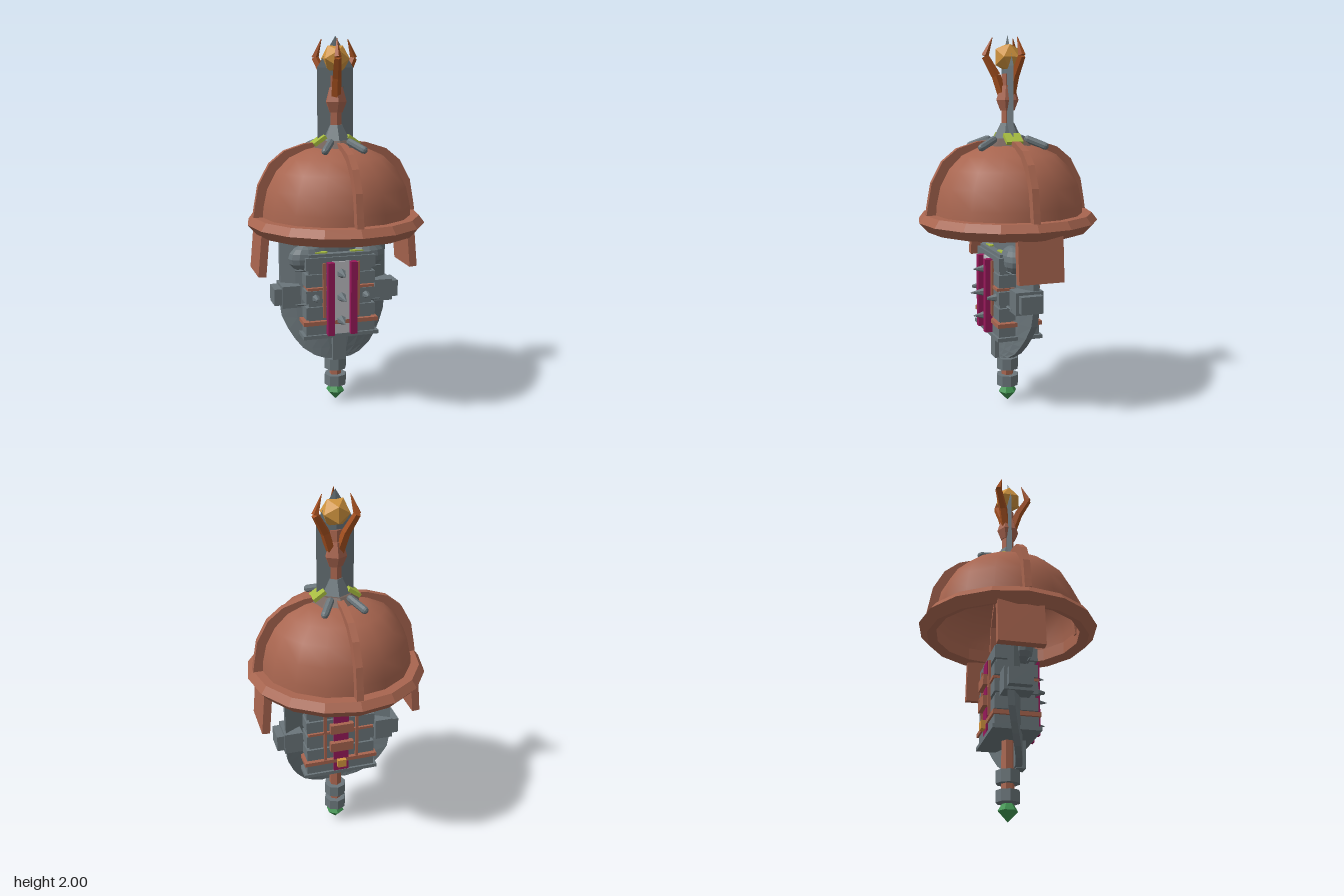
import * as THREE from 'three';

const mat = (name, color, extra = {}) =>
  Object.assign(new THREE.MeshStandardMaterial({ color, ...extra }), { name });

export function createModel() {
  const model = new THREE.Group();
  const flat = { flatShading: true };
  const leather = mat('leather brown', 0xa8654f, { ...flat, side: THREE.DoubleSide });
  const leatherSmooth = mat('leather brown smooth', 0xa8654f, { side: THREE.DoubleSide });
  const steel = mat('steel grey', 0x6a757a, flat);
  const copper = mat('copper', 0xa5501f, flat);
  const gold = mat('gold', 0xd2953f, flat);
  const purple = mat('purple', 0x97195a, flat);
  const pale = mat('pale grey', 0xbcbcc0, flat);
  const lime = mat('lime', 0xa6bc40, flat);
  const green = mat('green', 0x419552, flat);
  const taupe = mat('taupe', 0x705e57, flat);

  const add = (name, geo, material, x = 0, y = 0, z = 0, parent = model) => {
    const mesh = new THREE.Mesh(geo, material);
    mesh.name = name;
    mesh.position.set(x, y, z);
    parent.add(mesh);
    return mesh;
  };
  const box = (name, m, w, h, d, x, y, z) => add(name, new THREE.BoxGeometry(w, h, d), m, x, y, z);
  // Upright prism between two heights
  const prism = (name, m, rTop, rBottom, y0, y1, sides = 8) =>
    add(name, new THREE.CylinderGeometry(rTop, rBottom, y1 - y0, sides), m, 0, (y0 + y1) / 2, 0);
  // Tapered bar from a to b
  const strut = (name, m, a, b, ra, rb, sides = 5) => {
    const dir = b.clone().sub(a);
    const mid = a.clone().add(b).multiplyScalar(0.5);
    const mesh = add(name, new THREE.CylinderGeometry(rb, ra, dir.length(), sides), m, mid.x, mid.y, mid.z);
    mesh.quaternion.setFromUnitVectors(new THREE.Vector3(0, 1, 0), dir.normalize());
    return mesh;
  };
  const v2 = (pts) => pts.map(([x, y]) => new THREE.Vector2(x, y));
  const v3 = (x, y, z) => new THREE.Vector3(x, y, z);

  // Helmet dome, open below
  add('helmetDome', new THREE.LatheGeometry(v2([
    [0.405, 1.03], [0.4, 1.12], [0.378, 1.22], [0.33, 1.31],
    [0.26, 1.38], [0.17, 1.42], [0.09, 1.437], [0, 1.44]]), 16), leatherSmooth);
  const rim = add('helmetRim', new THREE.LatheGeometry(v2([
    [0.39, 1.07], [0.39, 1.0], [0.44, 0.98], [0.485, 1.03], [0.455, 1.07], [0.39, 1.07]]), 16), leather);
  rim.scale.x = 0.985;

  // Four ribs over the dome
  const ribShape = new THREE.Shape(v2([
    [0.38, 1.05], [0.45, 1.07], [0.442, 1.12], [0.42, 1.24], [0.36, 1.35], [0.28, 1.415],
    [0.17, 1.45], [0.05, 1.46], [0.05, 1.42], [0.25, 1.37], [0.36, 1.22]]));
  for (let i = 0; i < 4; i++) {
    const geo = new THREE.ExtrudeGeometry(ribShape, { depth: 0.036, bevelEnabled: false });
    geo.translate(0, 0, -0.018);
    add('helmetRib', geo, leather).rotation.y = i * Math.PI / 2;
  }

  // Cheek guards
  for (const s of [-1, 1]) {
    const guard = box('cheekGuard', leather, 0.042, 0.26, 0.24, s * 0.41, 0.895, -0.03);
    guard.rotation.z = s * 0.09;
  }

  // Crown hub with lime inlays and four diagonal pegs
  prism('hubPlate', taupe, 0.09, 0.145, 1.42, 1.465, 8);
  prism('hubCone', steel, 0.038, 0.095, 1.43, 1.545, 6);
  for (const s of [-1, 1]) {
    const inlay = box('hubInlay', lime, 0.075, 0.02, 0.09, s * 0.092, 1.465, 0);
    inlay.rotation.z = -s * 0.6;
    for (const t of [-1, 1]) {
      const peg = add('hubPeg', new THREE.CapsuleGeometry(0.02, 0.1, 3, 8), steel, s * 0.078, 1.442, t * 0.135);
      peg.quaternion.setFromUnitVectors(v3(0, 1, 0), v3(s * 0.5, -0.35, t * 0.8).normalize());
    }
  }

  // Wide blade with a diamond section
  const blade = prism('blade', steel, 0.098, 0.098, 0.55, 1.84, 4);
  const tip = prism('bladeTip', steel, 0, 0.098, 1.84, 2.0, 4);
  blade.scale.z = tip.scale.z = 0.2;

  // Staff, collars and pommel gem
  prism('staff', leather, 0.034, 0.034, 0.1, 1.8, 6);
  for (const [r, y0, y1] of [[0.062, 0.19, 0.255], [0.062, 0.095, 0.155], [0.045, 0.87, 0.98], [0.06, 1.06, 1.11], [0.06, 1.2, 1.25]])
    prism('staffCollar', steel, r, r, y0, y1, 8);
  prism('innerBand', gold, 0.055, 0.055, 1.15, 1.17, 8);
  prism('pommelGemTop', green, 0.03, 0.052, 0.055, 0.09, 6);
  prism('pommelGemPoint', green, 0.052, 0, 0, 0.055, 6);

  // Staff head: knot, three claws and a gold orb
  prism('headKnotLower', leather, 0.062, 0.04, 1.61, 1.665, 6);
  prism('headKnotUpper', leather, 0.04, 0.062, 1.665, 1.74, 6);
  add('headOrb', new THREE.IcosahedronGeometry(0.078, 0), gold, 0, 1.885, 0);
  for (const deg of [-20, 100, 220]) {
    const a = deg * Math.PI / 180;
    const p = [[0.025, 1.69], [0.06, 1.79], [0.118, 1.89], [0.08, 1.985]]
      .map(([r, y]) => v3(r * Math.cos(a), y, r * Math.sin(a)));
    [0.028, 0.025, 0.02].forEach((r, i) =>
      strut('headClaw', copper, p[i], p[i + 1], r, [0.025, 0.02, 0.002][i]));
  }

  // Curved shield: a grid narrowed row by row and bent backwards at its sides
  const rows = [[0.27, 0.07], [0.29, 0.13], [0.33, 0.19], [0.38, 0.23], [0.43, 0.26],
    [0.5, 0.29], [0.58, 0.3], [0.75, 0.3], [0.95, 0.3]];
  const shieldGeo = new THREE.BoxGeometry(2, rows.length - 1, 0.035, 8, rows.length - 1, 1);
  const pos = shieldGeo.attributes.position;
  for (let i = 0; i < pos.count; i++) {
    const r = Math.round(pos.getY(i) + (rows.length - 1) / 2);
    const u = pos.getX(i);
    const x = u * rows[r][1];
    const dip = r === rows.length - 1 ? -0.03 * (1 - Math.abs(u)) : 0;
    pos.setXYZ(i, x, rows[r][0] + dip, pos.getZ(i) + 0.045 - 0.1 * (x / 0.3) ** 2);
  }
  shieldGeo.computeVertexNormals();
  add('shield', shieldGeo, steel);
  box('shieldKeel', steel, 0.075, 0.16, 0.05, 0, 0.345, 0.06);
  for (const s of [-1, 1]) {
    // Side bosses and rounded shoulders
    box('sideBoss', steel, 0.1, 0.12, 0.15, s * 0.26, 0.635, -0.015);
    box('sideBossCap', steel, 0.05, 0.09, 0.12, s * 0.325, 0.635, -0.015);
    const pad = add('shoulderPad', new THREE.SphereGeometry(0.1, 12, 8), steel, s * 0.17, 0.84, 0.03);
    pad.scale.set(1, 0.75, 0.6);
    box('limeSlip', lime, 0.07, 0.008, 0.06, s * 0.1, 0.872, 0.05);
  }

  // Armoured case with stacked plates
  box('caseCore', steel, 0.35, 0.45, 0.2, 0, 0.645, 0);
  for (const y of [0.46, 0.55, 0.64, 0.73, 0.82])
    box('casePlate', steel, 0.385, 0.068, 0.225, 0, y, 0);
  box('caseBase', steel, 0.42, 0.02, 0.25, 0, 0.42, 0);
  box('belt', leather, 0.415, 0.022, 0.245, 0, 0.495, 0);
  box('belt', leather, 0.37, 0.014, 0.24, 0, 0.685, 0);

  // Front panel, purple rails and spikes
  box('frontPanel', pale, 0.1, 0.4, 0.014, 0, 0.63, 0.115);
  for (const s of [-1, 1]) {
    box('frontRail', purple, 0.036, 0.4, 0.04, s * 0.063, 0.63, 0.132);
    box('frontStrap', leather, 0.016, 0.3, 0.014, s * 0.094, 0.675, 0.117);
    box('backStrap', leather, 0.016, 0.3, 0.014, s * 0.09, 0.66, -0.118);
    strut('sideStud', steel, v3(s * 0.14, 0.635, 0.1), v3(s * 0.14, 0.635, 0.16), 0.025, 0.008, 6);
    for (const y of [0.59, 0.78])
      strut('sideBolt', steel, v3(s * 0.18, y, 0.06), v3(s * 0.24, y, 0.06), 0.01, 0.003, 5);
  }
  for (const y of [0.505, 0.635, 0.765])
    strut('frontSpike', steel, v3(0, y, 0.115), v3(0, y, y === 0.635 ? 0.21 : 0.195), 0.028, 0.002, 6);

  // Back panel with buckled straps
  box('backPanel', purple, 0.085, 0.4, 0.012, 0, 0.63, -0.116);
  for (const y of [0.6, 0.715])
    box('backBuckle', leather, 0.13, 0.055, 0.03, 0, y, -0.13);
  box('backClasp', gold, 0.05, 0.045, 0.03, 0, 0.485, -0.13);

  return model;
}
